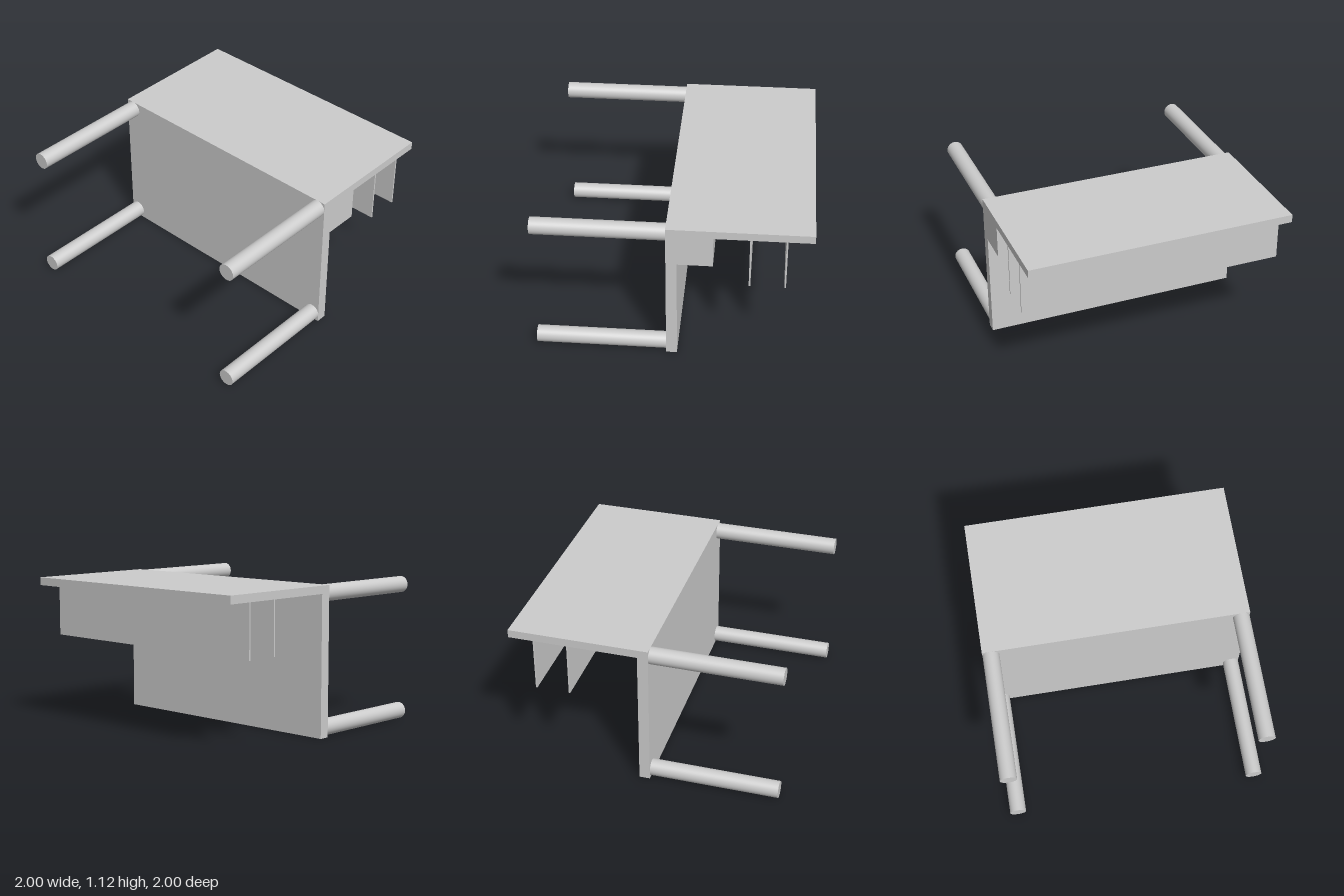
import * as THREE from 'three';

export function createModel() {
  const model = new THREE.Group();
  const material = new THREE.MeshStandardMaterial({ color: 0xcccccc });

  // Box given by its extents on each axis
  function box(name, [x0, x1], [y0, y1], [z0, z1], parent = model) {
    const mesh = new THREE.Mesh(new THREE.BoxGeometry(x1 - x0, y1 - y0, z1 - z0), material);
    mesh.position.set((x0 + x1) / 2, (y0 + y1) / 2, (z0 + z1) / 2);
    mesh.name = name;
    parent.add(mesh);
  }

  // Upright panel and the slab that reaches back from its top
  box('frontPanel', [-1, 1], [0, 1.06], [-0.04, 0.04]);
  box('topSlab', [-1, 1], [1.06, 1.12], [-1, 0.04]);

  // Four round legs pointing forward from the panel corners
  const radius = 0.0625, length = 0.96;
  const legGeometry = new THREE.CylinderGeometry(radius, radius, length, 40).rotateX(Math.PI / 2);
  for (const x of [-1 + radius, 1 - radius]) {
    for (const y of [radius + 0.002, 1.12 - radius]) {
      const leg = new THREE.Mesh(legGeometry, material);
      leg.name = 'leg';
      leg.position.set(x, y, 0.04 + length / 2);
      model.add(leg);
    }
  }

  // Open-bottomed compartment under the slab on the left side
  const compartment = new THREE.Group();
  compartment.name = 'compartment';
  model.add(compartment);
  const wall = 0.04, height = [0.82, 1.06];
  box('outerWall', [1 - wall, 1], height, [-0.295, -0.04], compartment);
  box('innerWall', [0.52, 0.52 + wall], height, [-0.295, -0.04], compartment);
  box('rearWall', [0.52 + wall, 1 - wall], height, [-0.295, -0.295 + wall], compartment);

  // Thin hanging plates: a split one, then a full-width one behind it
  const drop = [0.66, 1.06];
  box('splitPlateLeft', [0.28, 1], drop, [-0.562, -0.55]);
  box('splitPlateRight', [-1, -0.36], drop, [-0.562, -0.55]);
  box('rearPlate', [-1, 1], drop, [-0.814, -0.802]);

  return model;
}
